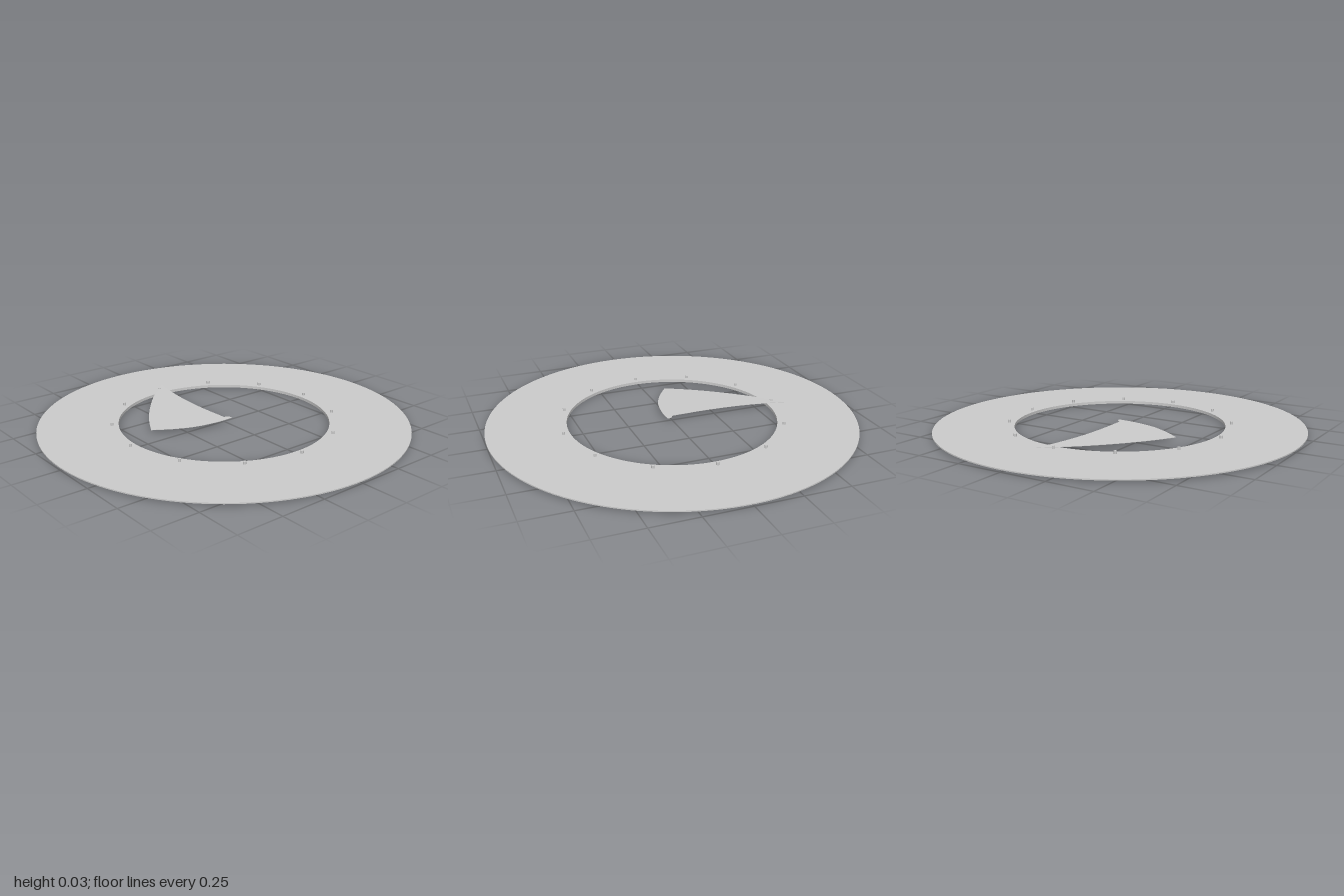
import * as THREE from 'three';

const material = new THREE.MeshStandardMaterial({ color: 0xcccccc, side: THREE.DoubleSide });

function addMesh(parent, name, geometry) {
  const mesh = new THREE.Mesh(geometry, material);
  mesh.name = name;
  parent.add(mesh);
  return mesh;
}

// Closed [radius, height] section turned about y; each band keeps its own sharp edges
function turnedRing(parent, name, section) {
  const ring = new THREE.Group();
  ring.name = name;
  section.forEach((p, i) => {
    const q = section[(i + 1) % section.length];
    const points = [new THREE.Vector2(...p), new THREE.Vector2(...q)];
    addMesh(ring, name + 'Face', new THREE.LatheGeometry(points, 128));
  });
  parent.add(ring);
}

// Curved blade outline, drawn with x across and z downwards in plan
function bladeGeometry() {
  const shape = new THREE.Shape();
  const v = (x, z) => new THREE.Vector2(x, -z);
  shape.moveTo(-0.665, 0.055);
  shape.splineThru([v(-0.53, -0.025), v(-0.38, -0.004), v(-0.2, 0.005), v(0, 0)]);
  shape.splineThru([v(0.012, -0.022), v(0.035, -0.028)]);
  shape.splineThru([v(0.034, 0.06), v(0.01, 0.19), v(-0.04, 0.3), v(-0.11, 0.405)]);
  shape.splineThru([v(-0.23, 0.335), v(-0.35, 0.25), v(-0.47, 0.15), v(-0.57, 0.053), v(-0.665, -0.055)]);
  const geometry = new THREE.ExtrudeGeometry(shape, { depth: 0.002, bevelEnabled: false, curveSegments: 8 });
  return geometry.rotateX(-Math.PI / 2);
}

export function createModel() {
  const model = new THREE.Group();
  model.name = 'irisMechanism';

  // Wide flat base plate
  turnedRing(model, 'basePlate', [[0.57, 0.01], [1, 0.01], [1, 0.016], [0.57, 0.016]]);

  // Narrow collar beneath the plate, with a shallow groove
  turnedRing(model, 'lowerCollar', [
    [0.57, 0], [0.6, 0], [0.6, 0.003], [0.61, 0.003], [0.61, 0], [0.64, 0], [0.64, 0.01], [0.57, 0.01],
  ]);

  // Twelve pivot pins around the opening
  for (let i = 0; i < 12; i++) {
    const angle = (i / 12) * Math.PI * 2;
    const pin = addMesh(model, 'pivotPin', new THREE.CylinderGeometry(0.008, 0.008, 0.016, 16));
    pin.position.set(Math.cos(angle) * 0.605, 0.023, Math.sin(angle) * 0.605);
  }

  // Single iris blade, tilted slightly down towards the front
  const blade = addMesh(model, 'irisBlade', bladeGeometry());
  blade.position.y = 0.024;
  blade.rotation.x = 0.018;

  return model;
}
